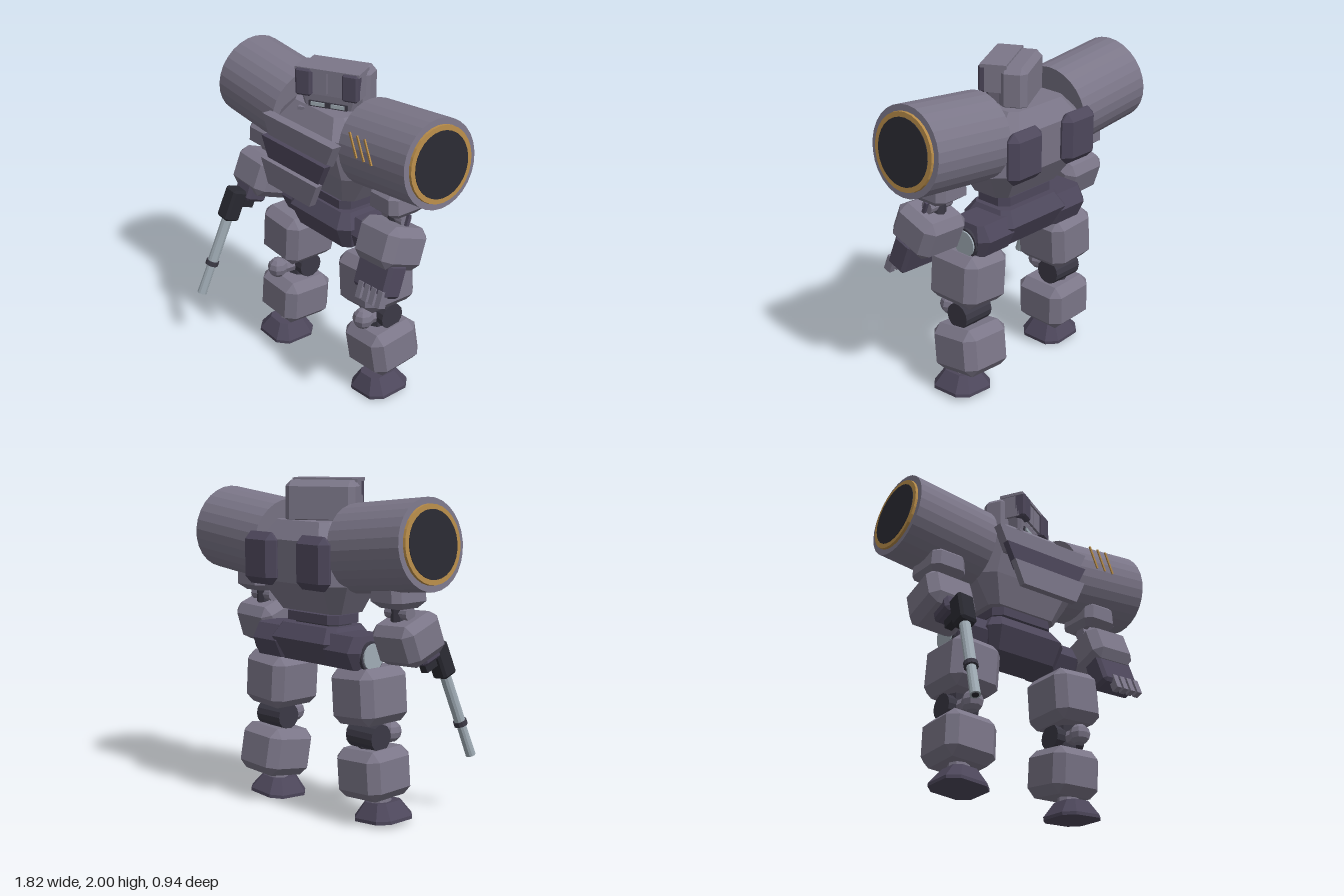
import * as THREE from 'three';
import { ConvexGeometry } from 'three/addons/geometries/ConvexGeometry.js';

const paint = (name, color) => {
  const m = new THREE.MeshStandardMaterial({ color });
  m.name = name;
  return m;
};

export function createModel() {
  const armour = paint('armour grey', 0x7b7688);
  const dark = paint('dark violet', 0x4d475b);
  const joint = paint('joint grey', 0x3b3945);
  const black = paint('black', 0x2a2a32);
  const gold = paint('gold', 0xb58a48);
  const steel = paint('pale steel', 0xa0acb5);

  const model = new THREE.Group();
  model.name = 'walker';

  // Adds a faceted mesh to a parent
  function add(parent, name, geo, mat, pos = [0, 0, 0], rot = [0, 0, 0]) {
    const g = geo.index ? geo.toNonIndexed() : geo;
    g.computeVertexNormals();
    const mesh = new THREE.Mesh(g, mat);
    mesh.name = name;
    mesh.position.set(...pos);
    mesh.rotation.set(...rot);
    parent.add(mesh);
    return mesh;
  }
  function group(parent, name, pos, rot = [0, 0, 0]) {
    const g = new THREE.Group();
    g.name = name;
    g.position.set(...pos);
    g.rotation.set(...rot);
    parent.add(g);
    return g;
  }
  const box = (w, h, d) => new THREE.BoxGeometry(w, h, d);
  const cyl = (r0, r1, h, n = 12) => new THREE.CylinderGeometry(r0, r1, h, n);

  // Box with every edge bevelled by c
  function bevelBox(w, h, d, c) {
    const pts = [];
    for (const i of [-1, 1]) for (const j of [-1, 1]) for (const k of [-1, 1]) {
      const x = w / 2, y = h / 2, z = d / 2;
      pts.push(new THREE.Vector3(i * x, j * (y - c), k * (z - c)),
        new THREE.Vector3(i * (x - c), j * y, k * (z - c)),
        new THREE.Vector3(i * (x - c), j * (y - c), k * z));
    }
    return new ConvexGeometry(pts);
  }
  // Convex body from levels [y, half width, back z, front z, corner cut]
  function levels(rows) {
    const pts = [];
    for (const [y, x, z0, z1, c] of rows) for (const s of [-1, 1]) {
      pts.push(new THREE.Vector3(s * x, y, z0 + c), new THREE.Vector3(s * (x - c), y, z0),
        new THREE.Vector3(s * x, y, z1 - c), new THREE.Vector3(s * (x - c), y, z1));
    }
    return new ConvexGeometry(pts);
  }

  // Torso
  const torso = group(model, 'torso', [0, 0, 0]);
  add(torso, 'torsoShell', levels([
    [1.225, 0.25, -0.27, 0.0, 0.05], [1.4, 0.365, -0.385, 0.06, 0.1],
    [1.65, 0.33, -0.4, 0.12, 0.08], [1.76, 0.22, -0.33, 0.05, 0.04]]), armour);

  // Overlapping chest plates: top y, bottom y, top half width, bottom half width, back z, front z
  [[1.655, 1.505, 0.335, 0.262, 0.115, 0.18, armour],
    [1.535, 1.378, 0.302, 0.225, 0.168, 0.213, dark],
    [1.41, 1.262, 0.267, 0.2, 0.2, 0.245, armour]].forEach(([t, b, wt, wb, z0, z1, m], i) =>
    add(torso, 'chestPlate' + (i + 1), levels([[b, wb, z0, z1, 0], [t, wt, z0, z1, 0]]), m));

  // Back packs
  for (const s of [-1, 1])
    add(torso, 'backPack', bevelBox(0.27, 0.31, 0.1, 0.045), dark, [s * 0.225, 1.535, -0.415]);

  // Waist and pelvis
  add(model, 'waistUpper', levels([[1.16, 0.22, -0.26, 0.0, 0.05], [1.215, 0.22, -0.26, 0.0, 0.05]]), dark);
  add(model, 'waistCore', levels([[1.1, 0.18, -0.22, -0.03, 0.04], [1.24, 0.18, -0.22, -0.03, 0.04]]), joint);
  add(model, 'pelvis', levels([
    [0.92, 0.245, -0.26, 0.0, 0.04], [1.06, 0.285, -0.34, 0.06, 0.06],
    [1.145, 0.23, -0.28, 0.0, 0.04]]), dark);

  // Turned head
  const head = group(model, 'head', [0, 0, -0.107], [0, 0.5, 0]);
  add(head, 'headBack', bevelBox(0.43, 0.26, 0.165, 0.035), armour, [0, 1.86, -0.056]);
  add(head, 'headHousing', box(0.39, 0.16, 0.13), armour, [0, 1.915, 0.045]);
  add(head, 'headRoof', box(0.4, 0.02, 0.155), armour, [0, 1.99, 0.058]);
  add(head, 'face', levels([[1.73, 0.15, -0.02, 0.1, 0.02], [1.84, 0.18, -0.02, 0.11, 0.02]]), armour);
  add(head, 'visor', box(0.24, 0.035, 0.03), joint, [0, 1.778, 0.1]);
  add(head, 'faceMast', box(0.06, 0.02, 0.03), armour, [-0.16, 1.735, 0.1]);
  for (const s of [-1, 1]) {
    add(head, 'headPost', bevelBox(0.1, 0.165, 0.075, 0.012), dark, [s * 0.145, 1.912, 0.11]);
    add(head, 'headPanel', box(0.088, 0.13, 0.02), armour, [s * 0.047, 1.915, 0.115]);
    add(head, 'lens', box(0.085, 0.022, 0.008), steel, [s * 0.062, 1.78, 0.118]);
  }

  for (const s of [-1, 1]) {
    const side = s > 0 ? 'left' : 'right';

    // Shoulder drum, local y running outward along the axis
    const drum = group(model, side + 'Drum', [s * 0.592, 1.638, -0.137], [0, 0, s * (0.105 - Math.PI / 2)]);
    add(drum, 'drumShell', cyl(0.26, 0.26, 0.555, 28), armour);
    add(drum, 'drumRing', cyl(0.222, 0.226, 0.03, 28), gold, [0, 0.278, 0]);
    add(drum, 'drumFace', cyl(0.193, 0.193, 0.032, 28), black, [0, 0.281, 0]);

    // Shoulder joint and elbow
    const arm = group(model, side + 'Arm', [s * 0.585, 0, -0.085]);
    add(arm, 'shoulder', levels([[1.29, 0.085, -0.09, 0.08, 0.02], [1.33, 0.122, -0.15, 0.13, 0.04],
      [1.42, 0.115, -0.15, 0.13, 0.04], [1.46, 0.08, -0.1, 0.09, 0.02]]), armour);
    add(arm, 'armNeck', cyl(0.05, 0.05, 0.12, 8), joint, [0, 1.26, 0]);
    add(arm, 'elbow', cyl(0.04, 0.04, 0.17, 12), armour, [0, 1.26, 0], [0, 0, Math.PI / 2]);

    // Forearm
    const fore = group(model, side + 'Forearm', [s * 0.605, 1.11, -0.03], [-0.35, 0, s * 0.05]);
    add(fore, 'forearmShell', bevelBox(0.325, 0.255, 0.31, 0.05), armour);
    if (s > 0) {
      // Open hand
      add(fore, 'palm', bevelBox(0.28, 0.21, 0.14, 0.02), dark, [0.01, -0.19, 0.03]);
      for (let i = 0; i < 4; i++)
        add(fore, 'finger', box(0.038, 0.1, 0.05), armour, [-0.045 + i * 0.056, -0.302, 0.083]);
      add(fore, 'wristPin', box(0.02, 0.08, 0.02), dark, [0.085, 0.155, 0.0]);
    } else {
      // Gripping hand
      add(fore, 'fist', bevelBox(0.16, 0.13, 0.15, 0.02), dark, [0, -0.12, 0.07]);
    }

    // Hip
    const leg = group(model, side + 'Leg', [0, 0, 0]);
    add(leg, 'hipHousing', levels([[0.925, 0.13, -0.28, -0.06, 0.03], [1.03, 0.15, -0.33, -0.01, 0.05],
      [1.12, 0.13, -0.28, -0.06, 0.03]]), dark, [s * 0.31, 0, 0]);
    add(leg, 'hipRing', cyl(0.09, 0.09, 0.03, 20), joint, [s * 0.452, 1.0, -0.18], [0, 0, Math.PI / 2]);
    add(leg, 'hipCap', cyl(0.078, 0.078, 0.04, 20), steel, [s * 0.457, 1.0, -0.18], [0, 0, Math.PI / 2]);

    // Thigh, knee, shin
    const kneeZ = s > 0 ? 0 : 0.03;
    add(leg, 'thigh', bevelBox(0.34, 0.33, 0.375, 0.055), armour, [s * 0.382, 0.765, -0.12], [0, 0, s * 0.07]);
    add(leg, 'kneeStem', cyl(0.07, 0.07, 0.22, 8), joint, [s * 0.4, 0.53, -0.13]);
    add(leg, 'kneeAxle', cyl(0.08, 0.08, 0.21, 14), joint, [s * 0.4, 0.525, -0.147], [0, 0, Math.PI / 2]);
    add(leg, 'kneeLink', cyl(0.045, 0.055, 0.12, 8), armour, [s * 0.405, 0.52, -0.05], [Math.PI / 2, 0, 0]);
    add(leg, 'kneeCap', new THREE.SphereGeometry(0.066, 8, 6), armour, [s * 0.41, 0.523, kneeZ]);
    add(leg, 'shin', bevelBox(0.35, 0.295, 0.35, 0.055), armour,
      [s * 0.405, 0.307, s > 0 ? -0.157 : -0.105], [s > 0 ? 0.14 : -0.03, 0, s * 0.05]);

    // Ankle and foot
    const footZ = s > 0 ? -0.115 : -0.053;
    add(leg, 'ankle', cyl(0.06, 0.075, 0.12, 8), armour, [s * 0.425, 0.135, footZ - 0.02]);
    add(leg, 'foot', levels([[0, 0.148, -0.15, 0.15, 0.06], [0.02, 0.148, -0.15, 0.15, 0.06],
      [0.11, 0.085, -0.095, 0.095, 0.035]]), dark,
    [s * 0.436, 0.013, footZ], [s > 0 ? 0.06 : 0, 0, s * 0.07]);
  }

  // Slanted marks on the left drum
  for (let i = 0; i < 3; i++)
    add(model, 'drumMark', box(0.012, 0.15, 0.009), gold, [0.447 + i * 0.064, 1.705, 0.127], [0, 0, 0.42]);

  // Hand gun, local -y pointing to the muzzle
  const gun = group(model, 'gun', [-0.622, 0.955, 0.222]);
  gun.quaternion.setFromUnitVectors(new THREE.Vector3(0, -1, 0), new THREE.Vector3(-0.05, -0.51, 0.187).normalize());
  add(gun, 'gunBody', bevelBox(0.11, 0.21, 0.11, 0.015), black);
  add(gun, 'gunGrip', box(0.05, 0.08, 0.14), black, [0, 0.03, -0.08]);
  add(gun, 'barrelUpper', cyl(0.034, 0.034, 0.35, 12), steel, [0, -0.25, 0]);
  add(gun, 'barrelRing', cyl(0.042, 0.042, 0.03, 12), joint, [0, -0.42, 0]);
  add(gun, 'barrelLower', cyl(0.028, 0.031, 0.22, 12), steel, [0, -0.53, 0]);
  add(gun, 'bore', cyl(0.02, 0.02, 0.004, 12), black, [0, -0.641, 0]);

  return model;
}
